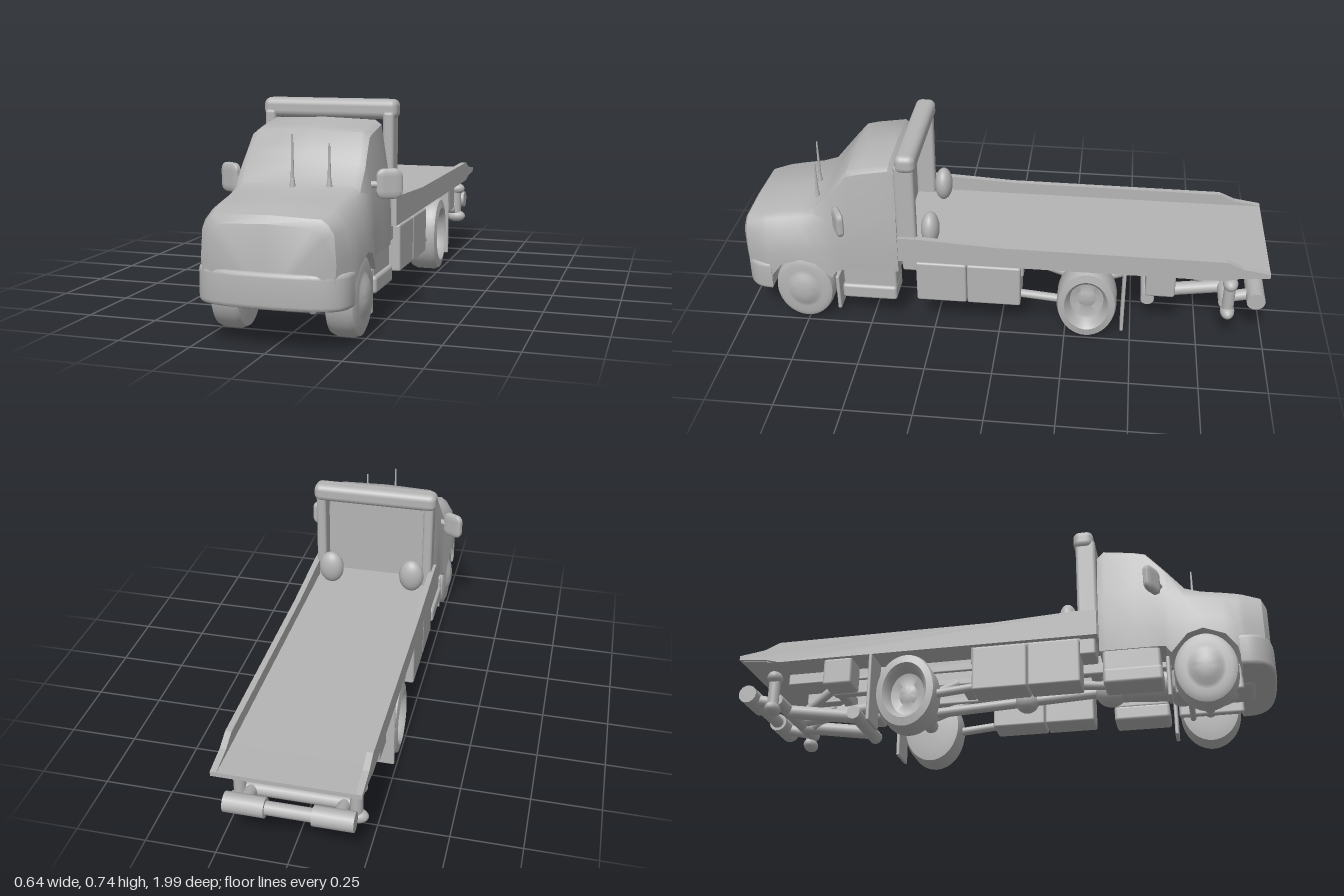
import * as THREE from 'three';
import { toCreasedNormals } from 'three/addons/utils/BufferGeometryUtils.js';
import { RoundedBoxGeometry } from 'three/addons/geometries/RoundedBoxGeometry.js';

const grey = new THREE.MeshStandardMaterial({ color: 0xb4b4b4 });
grey.name = 'plain grey';

export function createModel() {
  const truck = new THREE.Group();
  truck.name = 'flatbedTowTruck';

  const add = (name, geo, x = 0, y = 0, z = 0) => {
    const m = new THREE.Mesh(geo, grey);
    m.name = name;
    m.position.set(x, y, z);
    truck.add(m);
    return m;
  };
  // Rounded box given by its extents
  const box = (name, x0, x1, y0, y1, z0, z1, r = 0.01) =>
    add(name, new RoundedBoxGeometry(x1 - x0, y1 - y0, z1 - z0, 3, r), (x0 + x1) / 2, (y0 + y1) / 2, (z0 + z1) / 2);
  // Round bar between two points
  const rod = (name, a, b, r, r2 = r) => {
    const p = new THREE.Vector3(...a), q = new THREE.Vector3(...b), d = q.clone().sub(p);
    const m = add(name, new THREE.CylinderGeometry(r2, r, d.length(), 14), ...p.clone().add(q).multiplyScalar(0.5));
    m.quaternion.setFromUnitVectors(new THREE.Vector3(0, 1, 0), d.normalize());
    return m;
  };
  const ball = (name, x, y, z, rx, ry, rz) =>
    add(name, new THREE.SphereGeometry(1, 20, 14), x, y, z).scale.set(rx, ry, rz);
  // Side profile in (z, y), extruded across x
  const sideExtrude = (name, pts, width, x) => {
    const g = new THREE.ExtrudeGeometry(new THREE.Shape(pts.map(p => new THREE.Vector2(...p))),
      { depth: width, bevelEnabled: false });
    g.rotateY(-Math.PI / 2).translate(width / 2, 0, 0);
    return add(name, g, x);
  };

  // Cab and hood: cross-sections from nose to back wall
  // z, bottom y, w, middle y, w, shoulder y, w, top y, w
  const sections = [
    [0.983, 0.16, 0.16, 0.27, 0.185, 0.36, 0.185, 0.395, 0.17],
    [0.965, 0.14, 0.21, 0.28, 0.222, 0.375, 0.215, 0.42, 0.197],
    [0.90, 0.14, 0.240, 0.30, 0.248, 0.39, 0.235, 0.438, 0.21],
    [0.88, 0.15, 0.245, 0.30, 0.252, 0.395, 0.236, 0.443, 0.21],
    [0.87, 0.205, 0.252, 0.30, 0.254, 0.395, 0.237, 0.445, 0.21],
    [0.83, 0.257, 0.257, 0.32, 0.256, 0.405, 0.237, 0.453, 0.21],
    [0.755, 0.285, 0.259, 0.33, 0.256, 0.415, 0.236, 0.465, 0.212],
    [0.70, 0.27, 0.257, 0.33, 0.252, 0.425, 0.235, 0.482, 0.215],
    [0.64, 0.205, 0.25, 0.32, 0.246, 0.45, 0.233, 0.555, 0.215],
    [0.62, 0.235, 0.243, 0.32, 0.243, 0.46, 0.232, 0.580, 0.212],
    [0.565, 0.24, 0.235, 0.33, 0.238, 0.47, 0.231, 0.645, 0.207],
    [0.52, 0.24, 0.235, 0.33, 0.238, 0.47, 0.231, 0.657, 0.206],
    [0.41, 0.24, 0.235, 0.33, 0.237, 0.47, 0.230, 0.675, 0.203],
    [0.385, 0.24, 0.23, 0.33, 0.232, 0.47, 0.225, 0.655, 0.195],
  ];
  const pos = [], idx = [];
  const n = 12;
  for (const [z, yb, wb, ym, wm, ys, ws, yt, wt] of sections) {
    const half = [[wb, yb], [wm, ym], [ws, ys], [wt, yt - 0.016], [wt - 0.022, yt]];
    const ring = [[0, yb], ...half, [0, yt + 0.006], ...half.slice().reverse().map(([x, y]) => [-x, y])];
    ring.forEach(([x, y]) => pos.push(x, y, z));
  }
  for (let i = 0; i < sections.length - 1; i++) {
    for (let j = 0; j < n; j++) {
      const a = i * n + j, b = i * n + (j + 1) % n, c = a + n, d = b + n;
      idx.push(a, c, b, b, c, d);
    }
  }
  const last = (sections.length - 1) * n;
  for (let j = 1; j < n - 1; j++) {
    idx.push(0, j, j + 1);
    idx.push(last, last + j + 1, last + j);
  }
  const cab = new THREE.BufferGeometry();
  cab.setAttribute('position', new THREE.Float32BufferAttribute(pos, 3));
  cab.setIndex(idx);
  add('cabAndHood', toCreasedNormals(cab, 0.62));

  // Wraparound front bumper, extruded upward from its plan outline
  const plan = new THREE.Shape();
  plan.moveTo(-0.243, -0.885);
  plan.bezierCurveTo(-0.243, -0.965, -0.19, -0.99, 0, -0.99);
  plan.bezierCurveTo(0.19, -0.99, 0.243, -0.965, 0.243, -0.885);
  const bumper = new THREE.ExtrudeGeometry(plan, {
    depth: 0.085, bevelEnabled: true, bevelThickness: 0.015, bevelSize: 0.01, bevelSegments: 4, curveSegments: 16 });
  bumper.rotateX(-Math.PI / 2).translate(0, 0.152, 0);
  add('frontBumper', toCreasedNormals(bumper, 0.6));

  // Antennas on the hood
  for (const [x, z, top] of [[-0.006, 0.725, 0.65], [0.113, 0.705, 0.622]]) {
    rod('antennaBase', [x, 0.46, z], [x, 0.51, z], 0.013, 0.006);
    rod('antenna', [x, 0.5, z], [x, top, z], 0.006, 0.003);
  }

  // Rack behind the cab
  box('rackTopBar', -0.246, 0.246, 0.672, 0.742, 0.302, 0.378, 0.025);

  // Flat deck, sunk between its rails, with an open tail
  sideExtrude('deckFloor', [[0.38, 0.308], [-0.84, 0.308], [-0.99, 0.325], [-0.99, 0.341], [-0.84, 0.338], [0.38, 0.338]], 0.47, 0);

  // Wheel lathe profiles (radius, outward offset), unit radius
  const frontProfile = [[0, -0.05], [0.7, -0.05], [0.93, -0.045], [1, -0.025], [1, 0.025], [0.95, 0.046],
    [0.8, 0.055], [0.62, 0.052], [0.5, 0.056], [0.38, 0.065], [0.22, 0.07], [0, 0.072]];
  const rearProfile = [[0, -0.06], [0.7, -0.06], [0.94, -0.055], [1, -0.035], [1, 0.035], [0.95, 0.052],
    [0.74, 0.058], [0.64, 0.045], [0.56, 0.012], [0.3, 0.002], [0.2, 0.008], [0, 0.01]];
  const wheel = (name, profile, s, x, y, z, ry) => {
    const g = new THREE.LatheGeometry(profile.map(p => new THREE.Vector2(...p)), 40);
    g.rotateZ(-s * Math.PI / 2).scale(1, ry, 0.113);
    add(name, toCreasedNormals(g, 0.7), s * x, y, z);
  };

  // Everything that repeats on both sides
  for (const s of [-1, 1]) {
    const side = (name, x0, x1, ...rest) => box(name, Math.min(s * x0, s * x1), Math.max(s * x0, s * x1), ...rest);
    wheel('frontWheel', frontProfile, s, 0.193, 0.142, 0.755, 0.136);
    wheel('rearWheel', rearProfile, s, 0.193, 0.147, -0.33, 0.147);

    const mirror = box('mirror', -0.044, 0.044, 0.432, 0.532, -0.04, 0.04, 0.026);
    mirror.position.set(s * 0.281, 0.482, 0.588);
    mirror.scale.z = 0.36;
    mirror.rotation.y = s * 0.5;
    rod('mirrorArm', [s * 0.225, 0.48, 0.612], [s * 0.262, 0.48, 0.598], 0.012);

    side('rackPost', 0.198, 0.237, 0.3, 0.7, 0.31, 0.384, 0.012);
    ball('workLight', s * 0.165, 0.403, 0.268, 0.05, 0.067, 0.035);

    sideExtrude('deckRail', [[0.38, 0.302], [-0.83, 0.302], [-0.88, 0.315], [-0.99, 0.325], [-0.99, 0.342],
      [-0.89, 0.357], [-0.83, 0.383], [0, 0.386], [0.3, 0.402], [0.38, 0.402]], 0.022, s * 0.238);

    side('cabStep', 0.12, 0.242, 0.11, 0.17, 0.395, 0.605, 0.012);
    side('cabStepRiser', 0.12, 0.23, 0.16, 0.25, 0.395, 0.6, 0.01);
    side('frontMudFlap', 0.15, 0.235, 0.05, 0.2, 0.618, 0.632, 0.005);
    side('toolBoxFront', 0.13, 0.246, 0.125, 0.295, 0.125, 0.315, 0.008);
    side('toolBoxRear', 0.13, 0.246, 0.125, 0.295, -0.08, 0.122, 0.008);
    side('toolBoxHanger', 0.12, 0.22, 0.24, 0.312, -0.09, 0.37, 0.008);
    rod('sideTube', [s * 0.2, 0.155, -0.07], [s * 0.2, 0.14, -0.24], 0.016);
    side('rearMudFlap', 0.135, 0.25, 0.04, 0.305, -0.473, -0.46, 0.005);
    side('tailLightBox', 0.13, 0.235, 0.2, 0.305, -0.655, -0.545, 0.01);

    // Frame and suspension
    side('frameRail', 0.07, 0.105, 0.21, 0.285, -0.66, 0.9, 0.008);
    side('deckRunner', 0.085, 0.115, 0.265, 0.318, -0.84, 0.36, 0.005);
    side('frontLeafSpring', 0.1, 0.125, 0.1, 0.2, 0.64, 0.88, 0.01);
    rod('rearLeafSpringFront', [s * 0.095, 0.22, -0.16], [s * 0.095, 0.16, -0.33], 0.018);
    rod('rearLeafSpringBack', [s * 0.095, 0.16, -0.33], [s * 0.095, 0.22, -0.5], 0.018);

    // Wheel lift arms, hanging wheel grids and sleeves on the end bar
    rod('liftLowerArm', [s * 0.085, 0.12, -0.55], [s * 0.085, 0.165, -0.84], 0.026);
    rod('liftStrut', [s * 0.095, 0.265, -0.63], [s * 0.06, 0.155, -0.8], 0.018);
    rod('wheelGridStem', [s * 0.2, 0.12, -0.858], [s * 0.2, 0.27, -0.858], 0.022);
    ball('wheelGridFoot', s * 0.2, 0.132, -0.858, 0.042, 0.026, 0.027);
    ball('wheelGridHead', s * 0.2, 0.258, -0.858, 0.038, 0.026, 0.028);
    rod('liftEndArm', [s * 0.16, 0.17, -0.858], [s * 0.16, 0.192, -0.95], 0.022);
    rod('liftEndSleeve', [s * 0.08, 0.195, -0.957], [s * 0.22, 0.195, -0.957], 0.035);
  }

  // Running gear under the body
  box('engine', -0.09, 0.09, 0.125, 0.3, 0.62, 0.93, 0.03);
  ball('oilPan', 0, 0.14, 0.77, 0.065, 0.05, 0.1);
  rod('frontAxle', [-0.17, 0.125, 0.755], [0.17, 0.125, 0.755], 0.022);
  rod('steeringRod', [-0.15, 0.105, 0.69], [0.15, 0.105, 0.69], 0.011);
  rod('gearbox', [0, 0.18, 0.38], [0, 0.19, 0.64], 0.04, 0.065);
  ball('gearboxTail', 0, 0.175, 0.4, 0.055, 0.055, 0.06);
  rod('driveShaft', [0, 0.18, 0.4], [0, 0.145, -0.3], 0.019);
  ball('shaftBearing', 0, 0.165, 0.08, 0.045, 0.045, 0.045);
  rod('rearAxle', [-0.17, 0.147, -0.33], [0.17, 0.147, -0.33], 0.028);
  ball('differential', 0, 0.147, -0.33, 0.06, 0.06, 0.065);
  for (const z of [0.35, 0.1, -0.15, -0.45, -0.64]) {
    box('frameCrossMember', -0.09, 0.09, 0.22, 0.27, z - 0.02, z + 0.02, 0.008);
  }
  rod('exhaust', [-0.05, 0.165, 0.58], [-0.115, 0.165, 0.3], 0.016);

  // Wheel lift cross parts
  rod('liftPivot', [-0.14, 0.12, -0.56], [0.14, 0.12, -0.56], 0.026);
  rod('liftRam', [0, 0.2, -0.45], [0, 0.16, -0.8], 0.024);
  rod('liftCrossbar', [-0.2, 0.17, -0.845], [0.2, 0.17, -0.845], 0.024);
  rod('liftEndBar', [-0.14, 0.195, -0.957], [0.14, 0.195, -0.957], 0.024);

  return truck;
}
